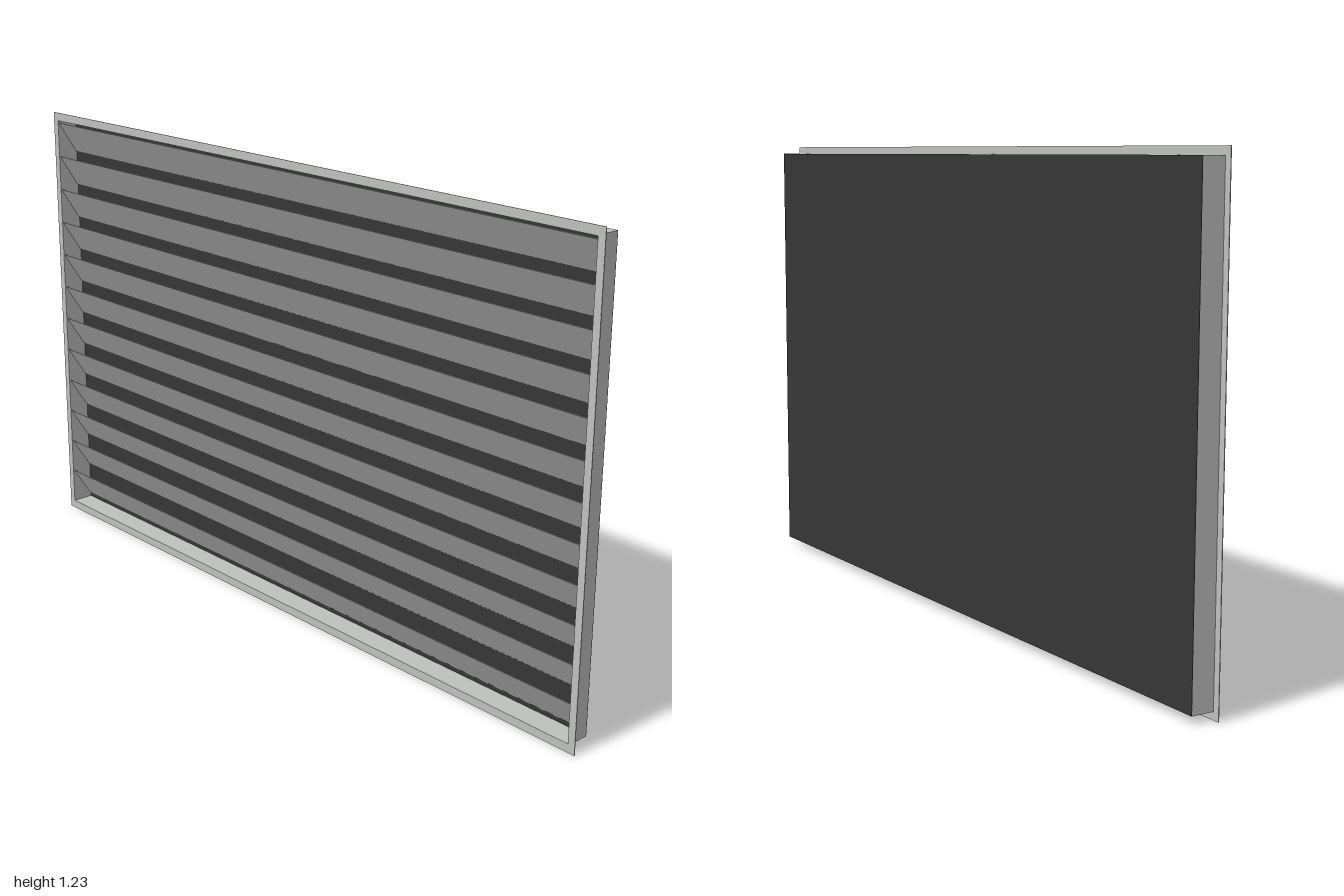
import * as THREE from 'three';

const HEIGHT = 1.225, MID = HEIGHT / 2;
const DUCT_W = 1.966, DUCT_H = 1.186;      // outer size of the box behind the flange
const FRONT = 0.031, BACK = -0.031;
const WALL = 0.003, SLATS = 12;

// Flat rectangular ring, extruded along z
function ring(w, h, innerW, innerH, depth) {
  const rect = (Type, a, b) => new Type([
    new THREE.Vector2(-a / 2, -b / 2), new THREE.Vector2(a / 2, -b / 2),
    new THREE.Vector2(a / 2, b / 2), new THREE.Vector2(-a / 2, b / 2),
  ]);
  const shape = rect(THREE.Shape, w, h);
  shape.holes.push(rect(THREE.Path, innerW, innerH));
  return new THREE.ExtrudeGeometry(shape, { depth, bevelEnabled: false });
}

export function createModel() {
  const metal = new THREE.MeshStandardMaterial({ color: 0xbfc1bf });
  metal.name = 'light grey metal';
  const dark = new THREE.MeshStandardMaterial({ color: 0x363636 });
  dark.name = 'dark backing';

  const model = new THREE.Group();
  model.name = 'louvreVent';
  const add = (name, geometry, material, y, z) => {
    const mesh = new THREE.Mesh(geometry, material);
    mesh.name = name;
    mesh.position.set(0, y, z);
    model.add(mesh);
    return mesh;
  };

  const innerW = DUCT_W - 2 * WALL, innerH = DUCT_H - 2 * WALL;

  // Thin front flange and the shallow box behind it
  add('flange', ring(2, HEIGHT, innerW, innerH, 0.002), metal, MID, FRONT - 0.002);
  add('duct', ring(DUCT_W, DUCT_H, innerW, innerH, FRONT - BACK - 0.003), metal, MID, BACK + 0.001);

  // Dark panel closing the back
  add('backPanel', new THREE.BoxGeometry(DUCT_W, DUCT_H, 0.001), dark, MID, BACK + 0.0005);

  // Sloping slats: front edge high, back edge low
  const pitch = 0.0975, rise = 0.087, run = 0.056;
  const length = Math.hypot(rise, run);
  for (let i = 0; i < SLATS; i++) {
    const slat = add('slat' + (i + 1), new THREE.BoxGeometry(innerW, length, 0.0015), metal,
      0.036 + i * pitch + rise / 2, 0);
    slat.rotation.x = Math.atan2(run, rise);
  }
  return model;
}
